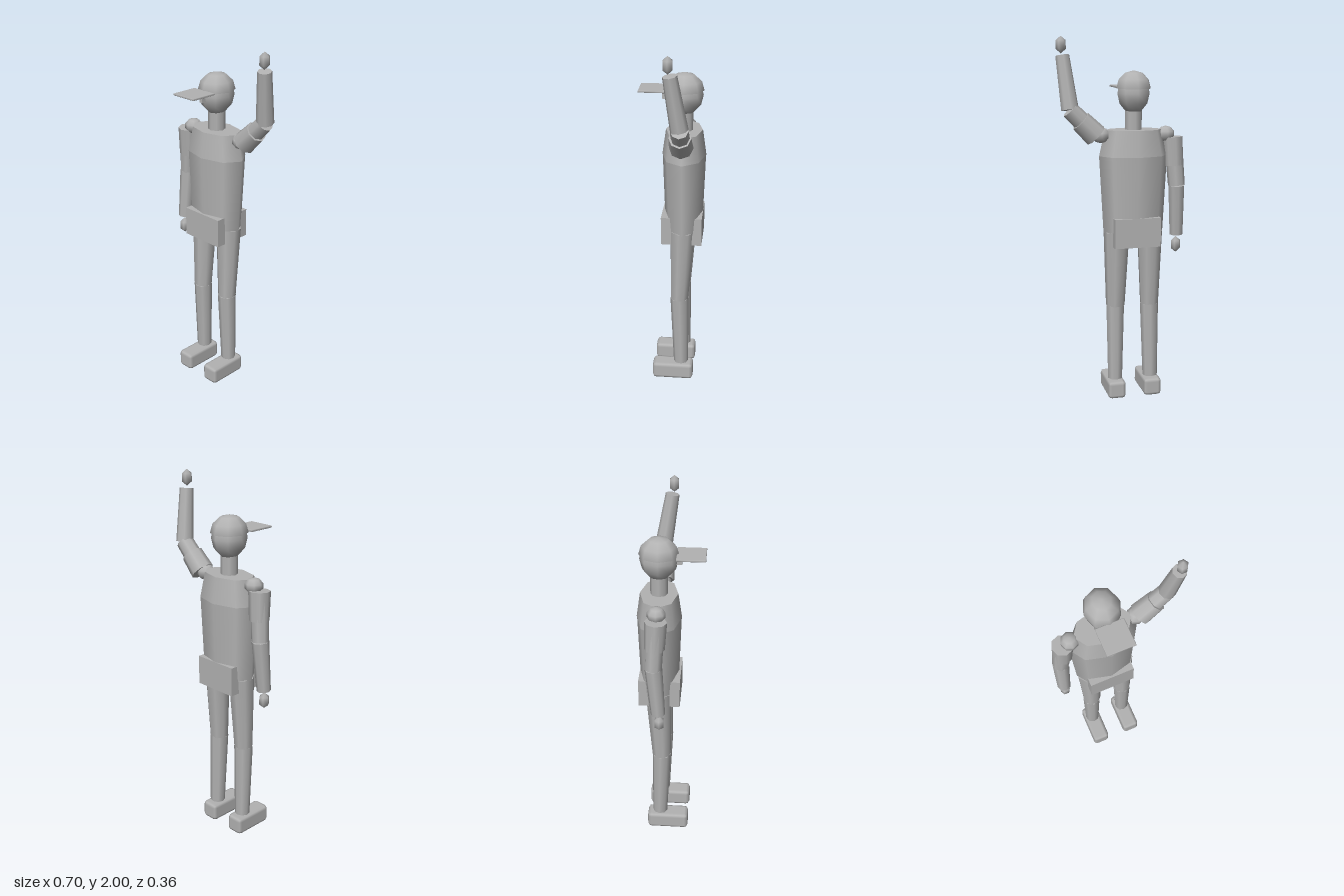
import * as THREE from 'three';
import { RoundedBoxGeometry } from 'three/addons/geometries/RoundedBoxGeometry.js';

const CX = -0.063, CZ = -0.06; // body axis

export function createModel() {
  const group = new THREE.Group();
  const grey = new THREE.MeshStandardMaterial({ color: 0xb2b2b2, side: THREE.DoubleSide });
  grey.name = 'plain grey';

  function add(name, geometry, x = 0, y = 0, z = 0) {
    const mesh = new THREE.Mesh(geometry, grey);
    mesh.name = name;
    mesh.position.set(x, y, z);
    group.add(mesh);
    return mesh;
  }

  // Tapered cylinder between two points
  function limb(name, a, b, ra, rb, sides = 8) {
    const from = new THREE.Vector3(...a), to = new THREE.Vector3(...b);
    const dir = to.clone().sub(from);
    const mesh = add(name, new THREE.CylinderGeometry(rb, ra, dir.length(), sides));
    mesh.position.copy(from).add(to).multiplyScalar(0.5);
    mesh.quaternion.setFromUnitVectors(new THREE.Vector3(0, 1, 0), dir.normalize());
    return mesh;
  }

  function ball(name, p, rx, ry, rz, w, h) {
    return add(name, new THREE.SphereGeometry(1, w, h).scale(rx, ry, rz), ...p);
  }

  // Block with chamfered edges
  function block(name, size, p, bevel) {
    return add(name, new RoundedBoxGeometry(...size, 1, bevel), ...p);
  }

  // Torso: eight-sided oval sections, widest at the chest
  const upper = new THREE.CylinderGeometry(0.158, 0.19, 0.14, 8);
  upper.scale(1, 1, 0.63);
  add('chest', upper, CX, 1.44, CZ);
  const lower = new THREE.CylinderGeometry(0.19, 0.167, 0.42, 8, 1);
  lower.scale(1, 1, 0.62);
  add('torso', lower, CX, 1.16, CZ);
  add('hips', new THREE.BoxGeometry(0.254, 0.16, 0.224), CX, 0.96, -0.055);

  // Legs and shoes
  for (const side of [-1, 1]) {
    const label = side > 0 ? 'left' : 'right';
    const hip = [CX + side * 0.094, 0.955, CZ];
    const knee = [CX + side * 0.098, 0.53, -0.045];
    const ankle = [CX + side * 0.102, 0.105, -0.056];
    limb(label + 'Thigh', hip, knee, 0.071, 0.052);
    limb(label + 'Shin', knee, ankle, 0.052, 0.042);
    block(label + 'Shoe', [0.1, 0.1, 0.236], [CX + side * 0.103, 0.05, -0.009], 0.02);
    ball(label + 'Shoulder', [CX + side * 0.18, 1.483, CZ], 0.05, 0.043, 0.05, 8, 5);
  }

  // Lowered right arm
  const rElbow = [-0.305, 1.2, -0.072], rWrist = [-0.314, 0.92, -0.05];
  limb('rightSleeve', [-0.283, 1.465, CZ], [-0.29, 1.31, -0.067], 0.058, 0.053);
  limb('rightUpperArm', [-0.285, 1.46, CZ], rElbow, 0.05, 0.046);
  limb('rightForearm', rElbow, rWrist, 0.046, 0.038);
  ball('rightHand', [-0.313, 0.86, -0.045], 0.031, 0.045, 0.031, 6, 3);

  // Raised left arm
  const lElbow = [0.282, 1.62, -0.062], lWrist = [0.311, 1.9, -0.017];
  limb('leftSleeve', [0.143, 1.48, CZ], [0.225, 1.56, CZ], 0.064, 0.058);
  limb('leftUpperArm', [0.145, 1.482, CZ], lElbow, 0.052, 0.047);
  limb('leftForearm', lElbow, lWrist, 0.047, 0.037);
  ball('leftHand', [0.317, 1.955, -0.008], 0.031, 0.045, 0.031, 6, 3);

  // Head, neck and nose
  limb('neck', [CX, 1.49, CZ], [CX, 1.63, CZ], 0.046, 0.046);
  ball('head', [CX, 1.702, CZ], 0.089, 0.108, 0.1, 8, 6);
  add('nose', new THREE.BoxGeometry(0.02, 0.033, 0.04), CX, 1.694, 0.038);

  // Cap: half dome and flat brim
  const dome = new THREE.SphereGeometry(1, 8, 3, 0, Math.PI * 2, 0, Math.PI / 2);
  add('capDome', dome.scale(0.095, 0.095, 0.104), CX, 1.727, CZ);
  block('capBrim', [0.15, 0.012, 0.15], [CX, 1.732, 0.105], 0.004);

  return group;
}
